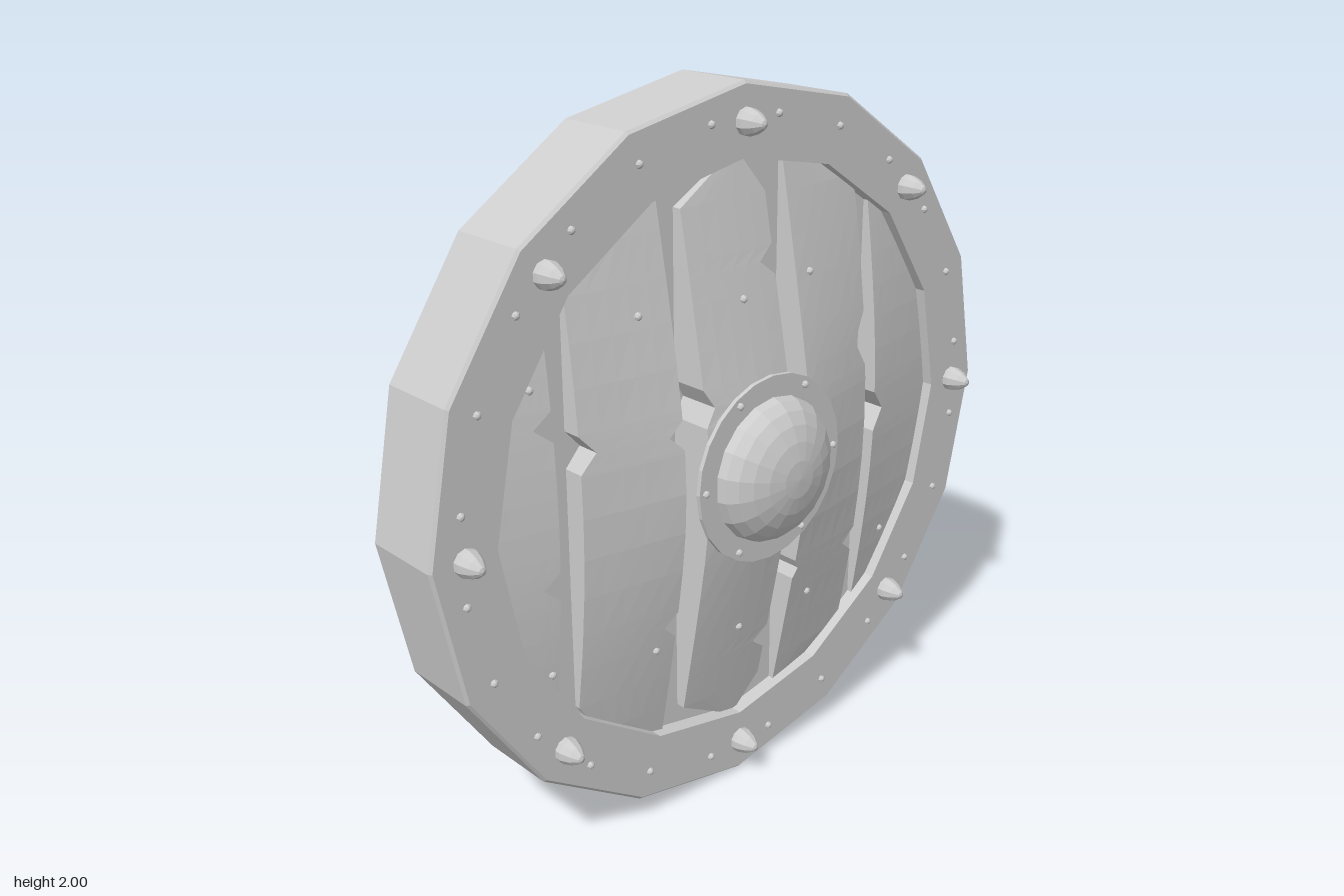
import * as THREE from 'three';

const steel = new THREE.MeshStandardMaterial({ color: 0xcccccc });
steel.name = 'plain grey';

// faceted mesh
function add(parent, geo, name) {
  const g = geo.index ? geo.toNonIndexed() : geo;
  g.computeVertexNormals();
  const mesh = new THREE.Mesh(g, steel);
  mesh.name = name;
  parent.add(mesh);
  return mesh;
}

// lathe turned about the z axis; points are [radius, z], running from back to front
function turned(points, sides) {
  return new THREE.LatheGeometry(points.map(p => new THREE.Vector2(...p)), sides).rotateX(Math.PI / 2);
}

// height of the domed plank surface
const surface = (x, y) => Math.min(0.238, 0.27 - 0.2 * Math.hypot(x, y));
const EDGE = 0.83, FLOOR = 0.09;

// notches are [y, offset, halfHeight]: a triangular nick in a plank edge
function edgeX(base, notches, y) {
  let x = base;
  for (const [ny, off, h] of notches) x += off * Math.max(0, 1 - Math.abs(y - ny) / h);
  const limit = Math.sqrt(Math.max(0, EDGE * EDGE - y * y));
  return THREE.MathUtils.clamp(x, -limit, limit);
}

function plankGeometry({ left, right, nl = [], nr = [] }) {
  const nearest = left * right < 0 ? 0 : Math.min(Math.abs(left), Math.abs(right));
  const h = Math.sqrt(EDGE * EDGE - nearest * nearest);
  const rows = [];
  for (let i = 0; i <= 14; i++) rows.push(-h + 2 * h * i / 14);
  for (const [y, , d] of [...nl, ...nr]) rows.push(y - d, y, y + d);
  rows.sort((a, b) => a - b);
  const pos = [];
  const quad = (a, b, c, d) => pos.push(...a, ...b, ...c, ...a, ...c, ...d);
  const cols = 5;
  for (let i = 0; i < rows.length - 1; i++) {
    const [y0, y1] = [rows[i], rows[i + 1]];
    if (y1 - y0 < 1e-4) continue;
    const at = (t, y) => {
      const x = THREE.MathUtils.lerp(edgeX(left, nl, y), edgeX(right, nr, y), t);
      return [x, y, surface(x, y)];
    };
    const low = p => [p[0], p[1], FLOOR];
    for (let c = 0; c < cols; c++) {
      const t0 = c / cols, t1 = (c + 1) / cols;
      quad(at(t0, y0), at(t1, y0), at(t1, y1), at(t0, y1));
    }
    const l0 = at(0, y0), l1 = at(0, y1), r0 = at(1, y0), r1 = at(1, y1);
    quad(low(l0), l0, l1, low(l1));
    quad(r0, low(r0), low(r1), r1);
  }
  const g = new THREE.BufferGeometry();
  g.setAttribute('position', new THREE.Float32BufferAttribute(pos, 3));
  return g;
}

export function createModel() {
  const model = new THREE.Group();
  model.name = 'shield';
  const body = new THREE.Group();
  body.name = 'shieldBody';
  body.position.y = 1;
  model.add(body);

  // sixteen-sided rim, dished back and the floor behind the planks
  add(body, turned([[0.98, -0.1], [1, -0.09], [1, 0.132], [0.992, 0.14], [0.81, 0.14], [0.81, 0.095]], 16), 'rim');
  add(body, turned([[0, -0.05], [0.5, -0.07], [0.96, -0.095], [0.98, -0.1]], 16), 'backPanel');
  add(body, turned([[0.82, 0.095], [0, 0.095]], 16), 'grooveFloor');

  // planks with nicked edges
  const planks = [
    { left: -0.83, right: -0.63, nr: [[0.26, -0.05, 0.04], [-0.165, -0.045, 0.04]] },
    { left: -0.565, right: -0.275, nl: [[0.17, 0.045, 0.05]], nr: [[0.16, -0.04, 0.04], [-0.395, -0.04, 0.04]] },
    { left: -0.205, right: 0.085, nl: [[0.21, 0.03, 0.05]], nr: [[0.54, -0.05, 0.04], [-0.58, -0.05, 0.04]] },
    { left: 0.165, right: 0.455, nl: [[-0.385, 0.018, 0.03]], nr: [[0.24, -0.05, 0.08], [-0.395, -0.05, 0.04]] },
    { left: 0.51, right: 0.83, nl: [[0, 0.045, 0.06]] },
  ];
  planks.forEach((p, i) => add(body, plankGeometry(p), `plank${i + 1}`));

  // central boss: flange and dome
  add(body, turned([[0, 0.238], [0.262, 0.238], [0.262, 0.25], [0, 0.25]], 24), 'bossFlange');
  const dome = [];
  for (let i = 0; i <= 6; i++) {
    const a = i / 6 * Math.PI / 2;
    dome.push([0.203 * Math.cos(a), 0.248 + 0.107 * Math.sin(a)]);
  }
  add(body, turned(dome, 18), 'bossDome');

  // small rivets
  const rivet = (x, y, z, name) =>
    add(body, new THREE.SphereGeometry(0.011, 8, 6).rotateX(Math.PI / 2), name).position.set(x, y, z);
  const polar = (r, deg) => [r * Math.cos(deg * Math.PI / 180), r * Math.sin(deg * Math.PI / 180)];
  for (let k = 0; k < 8; k++) {
    for (const d of [-7.4, 7.4, 22.5]) rivet(...polar(0.914, 45 * k + d), 0.14, 'rimRivet');
    // rim studs
    const stud = add(body, turned([[0.036, -0.01], [0.036, 0.016], [0.026, 0.045], [0.011, 0.066], [0, 0.07]], 10), 'rimStud');
    stud.position.set(...polar(0.9, 45 * k), 0.14);
  }
  for (let k = 0; k < 6; k++) rivet(...polar(0.24, 60 * k), 0.25, 'bossRivet');
  const plankRivets = [
    [-0.37, 0.48], [-0.04, 0.46], [0.22, 0.48], [-0.68, 0.36],
    [-0.65, -0.42], [-0.335, -0.46], [-0.04, -0.495], [0.25, -0.495], [0.615, -0.425],
  ];
  for (const [x, y] of plankRivets) rivet(x, y, surface(x, y), 'plankRivet');

  // two grips on the back; profile is [distance behind centre, height]
  const profile = [
    [0.05, 0.255], [0.265, 0.25], [0.35, 0.08], [0.35, -0.25], [0.265, -0.41], [0.05, -0.415],
    [0.05, -0.34], [0.235, -0.32], [0.28, -0.24], [0.29, -0.08], [0.28, 0.07], [0.235, 0.16], [0.05, 0.185],
  ];
  const shape = new THREE.Shape(profile.map(p => new THREE.Vector2(...p)));
  [['rightHandle', -0.5], ['leftHandle', 0.305]].forEach(([name, x]) => {
    const geo = new THREE.ExtrudeGeometry(shape, { depth: 0.172, bevelEnabled: false }).rotateY(Math.PI / 2);
    add(body, geo, name).position.x = x;
  });

  return model;
}
